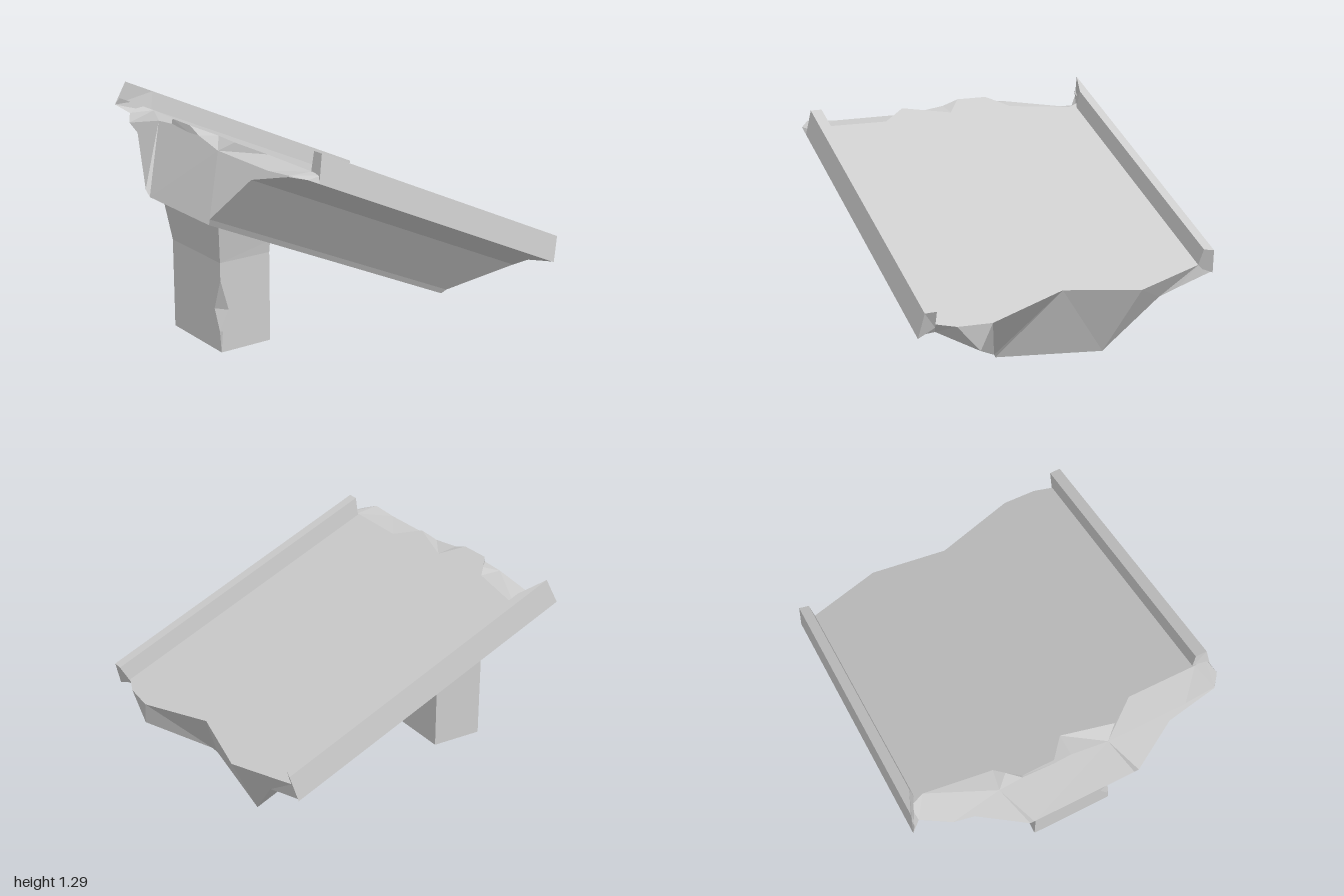
import * as THREE from 'three';

// The slab is modelled in a tilted frame: s runs up the slope, h is normal to it.
const SIN = 0.414, COS = 0.910;
const tilt = ([x, h, s]) => [x, SIN * s + COS * h, COS * s - SIN * h];
const DECK = 0.748;
// Deck point given by its plan position (x, z)
const onDeck = ([x, z]) => [x, DECK, (z + SIN * DECK) / COS];

function mesh(name, tris) {
  const g = new THREE.BufferGeometry();
  g.setAttribute('position', new THREE.Float32BufferAttribute(tris.flat(2), 3));
  g.computeVertexNormals();
  const m = new THREE.Mesh(g, new THREE.MeshStandardMaterial({ color: 0xcccccc, flatShading: true }));
  m.name = name;
  return m;
}

// Fill between two chains that both run from -x to +x
function strip(a, b) {
  const tris = [];
  let i = 0, j = 0;
  while (i < a.length - 1 || j < b.length - 1) {
    const stepA = j === b.length - 1 || (i < a.length - 1 && a[i + 1][0] <= b[j + 1][0]);
    if (stepA) tris.push([a[i], a[++i], b[j]]);
    else tris.push([a[i], b[j + 1], b[j++]]);
  }
  return tris;
}

// Skin a list of equal rings and cap both ends
function loft(rings) {
  const tris = [], n = rings[0].length, last = rings[rings.length - 1];
  for (let r = 0; r < rings.length - 1; r++) {
    const p = rings[r], q = rings[r + 1];
    for (let j = 0; j < n; j++) {
      const k = (j + 1) % n;
      tris.push([p[j], p[k], q[k]], [p[j], q[k], q[j]]);
    }
  }
  for (let j = 1; j < n - 1; j++) {
    tris.push([rings[0][0], rings[0][j + 1], rings[0][j]], [last[0], last[j], last[j + 1]]);
  }
  return tris;
}

function slab() {
  // Underside profile: x, h, front end, back end
  const profile = [
    [-0.94, 0.703, 1.244, -0.56], [-0.88, 0.685, 1.165, -0.565], [-0.72, 0.636, 1.243, -0.58],
    [-0.60, 0.60, 1.243, -0.594], [-0.32, 0.323, 1.243, -0.635], [-0.29, 0.291, 1.22, -0.64],
    [0.34, 0.291, 1.22, -0.555], [0.36, 0.323, 1.243, -0.565], [0.59, 0.60, 1.243, -0.79],
    [0.81, 0.665, 1.243, -0.665], [0.88, 0.685, 1.243, -0.69], [0.94, 0.703, 1.168, -0.72],
  ];
  const front = profile.map(([x, h, f]) => tilt([x, h, f]));
  const back = profile.map(([x, h, , b]) => tilt([x, h, b]));
  // Upper edge of the front face
  const brow = [
    [-0.94, 0.703, 1.244], [-0.88, 0.685, 1.165], [-0.72, 0.636, 1.243], [-0.43, 0.709, 1.243],
    [-0.29, 0.72, 1.243], [-0.10, 0.709, 1.243], [0, 0.714, 1.243], [0.22, 0.676, 1.243],
    [0.45, 0.676, 1.243], [0.70, 0.676, 1.243], [0.88, 0.692, 1.243], [0.94, 0.703, 1.168],
  ].map(tilt);
  // Broken edges of the deck
  const deckFront = [
    [-0.92, 0.82], [-0.89, 0.70], [-0.80, 0.66], [-0.41, 0.72], [-0.36, 0.77], [-0.29, 0.83],
    [-0.10, 0.83], [0, 0.71], [0.29, 0.79], [0.44, 0.68], [0.85, 0.685], [0.92, 0.67],
  ].map(onDeck).map(tilt);
  const deckBack = [
    [-0.92, -0.80], [-0.85, -0.80], [-0.41, -0.92], [0.04, -0.84],
    [0.53, -0.99], [0.73, -0.98], [0.84, -0.94], [0.92, -0.95],
  ].map(onDeck).map(tilt);

  const tris = [
    ...strip(back, front), ...strip(front, brow), ...strip(brow, deckFront),
    ...strip(deckFront, deckBack), ...strip(deckBack, back),
  ];
  // Side walls under the rails
  const end = (c) => c[c.length - 1];
  const [f, b, k, t] = [front, back, deckBack, deckFront].map(end);
  tris.push([f, b, k], [f, k, t]);
  tris.push([front[0], deckBack[0], back[0]], [front[0], deckFront[0], deckBack[0]]);
  return mesh('deckSlab', tris);
}

// Rail section: corners (x, h) with the two ends per corner
function rail(name, corners) {
  return mesh(name, loft([3, 2].map((e) => corners.map((c) => tilt([c[0], c[1], c[e]])))));
}

function column() {
  // y, chip on the front corner (across, deep)
  const rows = [[0, 0, 0], [0.12, 0.015, 0.01], [0.24, 0.065, 0.05], [0.42, 0, 0], [0.52, 0, 0]];
  const rings = rows.map(([y, a, b]) => [
    [-0.22, y, 0.57], [-0.22, y, 0.89], [0.28 - a, y, 0.89], [0.28, y, 0.89 - b], [0.28, y, 0.57],
  ]);
  // Flared head following the slope
  rings.push([
    [-0.23, 0.59, 0.57], [-0.26, 0.75, 0.92], [0.32, 0.75, 0.92], [0.32, 0.75, 0.92], [0.29, 0.59, 0.57],
  ]);
  return mesh('supportColumn', loft(rings));
}

export function createModel() {
  const group = new THREE.Group();
  group.name = 'brokenRamp';
  group.add(
    slab(),
    rail('leftRail', [
      [0.835, 0.73, 1.08, -0.70], [0.94, 0.703, 1.09, -0.735],
      [0.917, 0.851, 1.123, -0.711], [0.85, 0.851, 1.123, -0.711],
    ]),
    rail('rightRail', [
      [-0.94, 0.703, 1.244, -0.57], [-0.845, 0.73, 1.05, -0.54],
      [-0.86, 0.851, 1.08, -0.53], [-0.917, 0.851, 1.244, -0.547],
    ]),
    column(),
  );
  return group;
}
